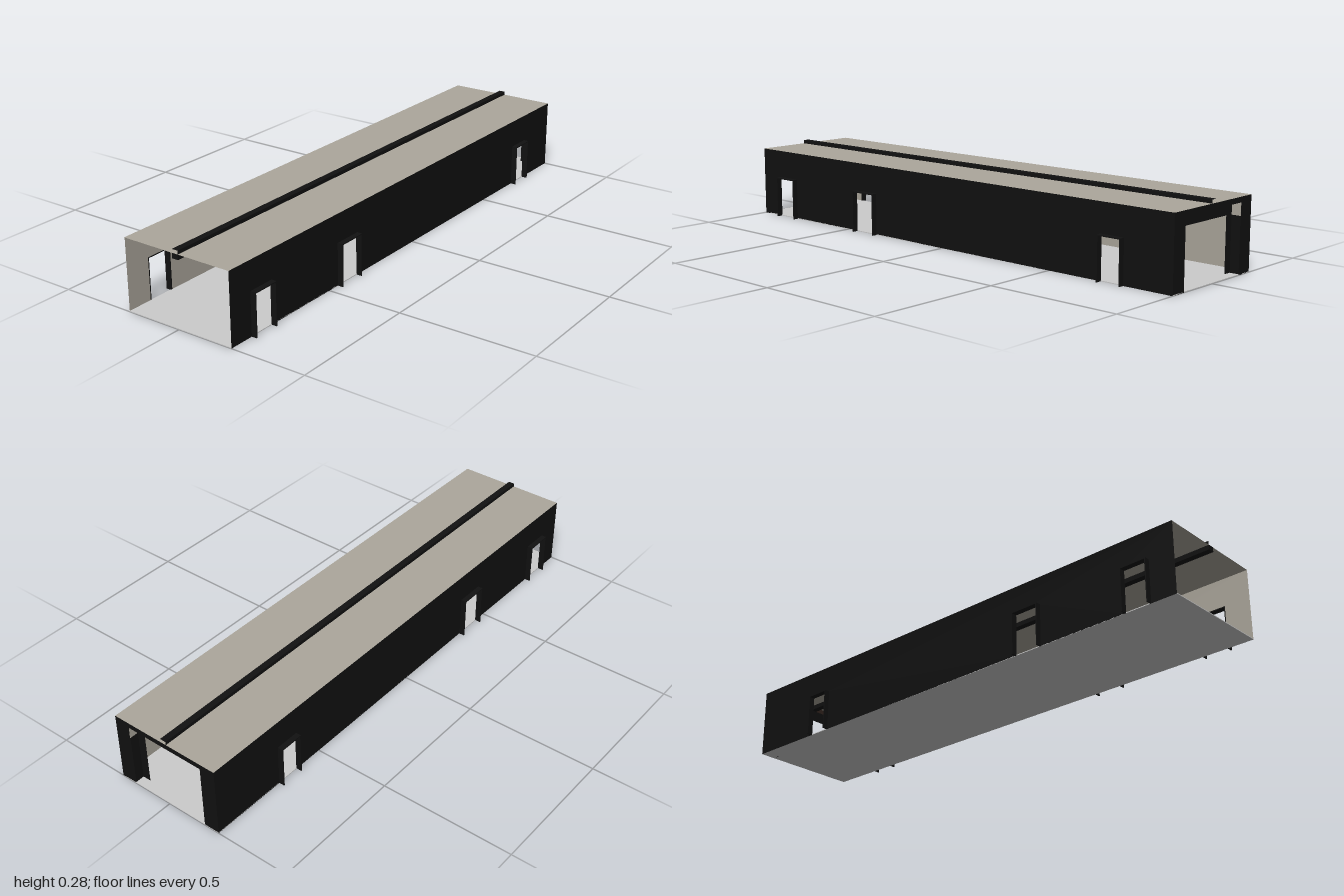
import * as THREE from 'three';

const W = 0.217, H = 0.262, L = 1;      // half width, roof height, half length
const DOOR_H = 0.157, END = -0.965;     // door height, z of the recessed portal

const mat = (color) => new THREE.MeshStandardMaterial({ color, side: THREE.FrontSide });
const black = mat(0x111111);
const beige = mat(0xaca79c);
const brown = mat(0x30231d);
const grey = mat(0xcccccc);

// Door spans along z on each side
const doors = {
  left: [[-0.81, -0.715], [0.34, 0.452], [0.8, 0.903]],
  right: [[-0.705, -0.612], [0.34, 0.452], [0.8, 0.903]],
};

export function createModel() {
  const model = new THREE.Group();

  function add(parent, name, geometry, material, x = 0, y = 0, z = 0) {
    const mesh = new THREE.Mesh(geometry, material);
    mesh.name = name;
    mesh.position.set(x, y, z);
    parent.add(mesh);
    return mesh;
  }
  const box = (parent, name, w, h, d, material, x, y, z) =>
    add(parent, name, new THREE.BoxGeometry(w, h, d), material, x, y, z);

  // Flat outline with rectangular notches rising from the bottom edge
  function notched(u0, u1, top, notches) {
    const s = new THREE.Shape();
    s.moveTo(u0, 0);
    [...notches].sort((a, b) => a[0] - b[0]).forEach(([a, b, h]) => {
      s.lineTo(a, 0);
      s.lineTo(a, h);
      s.lineTo(b, h);
      s.lineTo(b, 0);
    });
    s.lineTo(u1, 0);
    s.lineTo(u1, top);
    s.lineTo(u0, top);
    return new THREE.ShapeGeometry(s);
  }

  // One skin of a long wall; facing is the sign of its normal along x
  function wallSkin(parent, name, facing, x, spans, material) {
    const cuts = spans.map(([a, b]) => (facing > 0 ? [-b, -a, DOOR_H] : [a, b, DOOR_H]));
    const skin = add(parent, name, notched(-L, L, H, cuts), material, x);
    skin.rotation.y = facing * Math.PI / 2;
  }

  // Long walls with door surrounds
  for (const [side, sx] of [['left', 1], ['right', -1]]) {
    const wall = new THREE.Group();
    wall.name = side + 'Wall';
    model.add(wall);
    wallSkin(wall, 'outerSkin', sx, sx * W, doors[side], black);
    wallSkin(wall, 'innerSkin', -sx, sx * (W - 0.002), doors[side], beige);
    const t = 0.004, depth = 0.022, x = sx * (W + 0.009);
    for (const [a, b] of doors[side]) {
      for (const z of [a + t / 2, b - t / 2]) {
        box(wall, 'doorJamb', depth, DOOR_H, t, black, x, DOOR_H / 2, z);
      }
      box(wall, 'doorHead', depth, t, b - a, black, x, DOOR_H - t / 2, (a + b) / 2);
    }
  }

  // Floor, roof and ceiling
  box(model, 'floor', 2 * W, 0.003, 2 * L, grey, 0, 0.0015, 0);
  const sheet = new THREE.PlaneGeometry(2 * W, 2 * L);
  add(model, 'roof', sheet, beige, 0, H, 0).rotation.x = -Math.PI / 2;
  add(model, 'ceiling', sheet, beige, 0, H - 0.002, 0).rotation.x = Math.PI / 2;

  // Central beam below the roof and open-ended ridge strip above it
  box(model, 'ceilingBeam', 0.024, 0.018, 2 * L, black, 0, 0.252, 0);
  const ridge = new THREE.Group();
  ridge.name = 'ridgeStrip';
  model.add(ridge);
  const ridgeTop = 0.275, rise = ridgeTop - H;
  add(ridge, 'ridgeTop', new THREE.PlaneGeometry(0.024, 2 * L), black, 0, ridgeTop, 0)
    .rotation.x = -Math.PI / 2;
  for (const s of [1, -1]) {
    add(ridge, 'ridgeSide', new THREE.PlaneGeometry(2 * L, rise), black, s * 0.012, H + rise / 2, 0)
      .rotation.y = s * Math.PI / 2;
  }

  // Back end: outer wall, then a recessed portal with a smaller opening
  const back = new THREE.Group();
  back.name = 'backEnd';
  model.add(back);
  add(back, 'outerEndWall', notched(-W, W, H, [[-0.157, 0.157, 0.243]]), black, 0, 0, -L)
    .rotation.y = Math.PI;
  const portal = notched(-W, W, 0.243, [[-0.125, 0.125, 0.2]]);
  add(back, 'portalInside', portal, black, 0, 0, END + 0.006);
  add(back, 'portalOutside', portal, black, 0, 0, END).rotation.y = Math.PI;
  box(back, 'headerBand', 2 * W - 0.006, 0.018, 0.006, brown, 0, 0.252, END + 0.003);

  // Reveals between the outer wall and the portal
  const d = END + L - 0.001, zc = (END - L) / 2 + 0.0005;
  for (const s of [1, -1]) {
    box(back, 'lowerReveal', 0.004, 0.198, d, black, s * 0.159, 0.099, zc);
    box(back, 'upperReveal', 0.004, 0.045, d, beige, s * 0.159, 0.2205, zc);
  }
  box(back, 'headReveal', 0.314, 0.004, d, beige, 0, 0.245, zc);

  return model;
}
